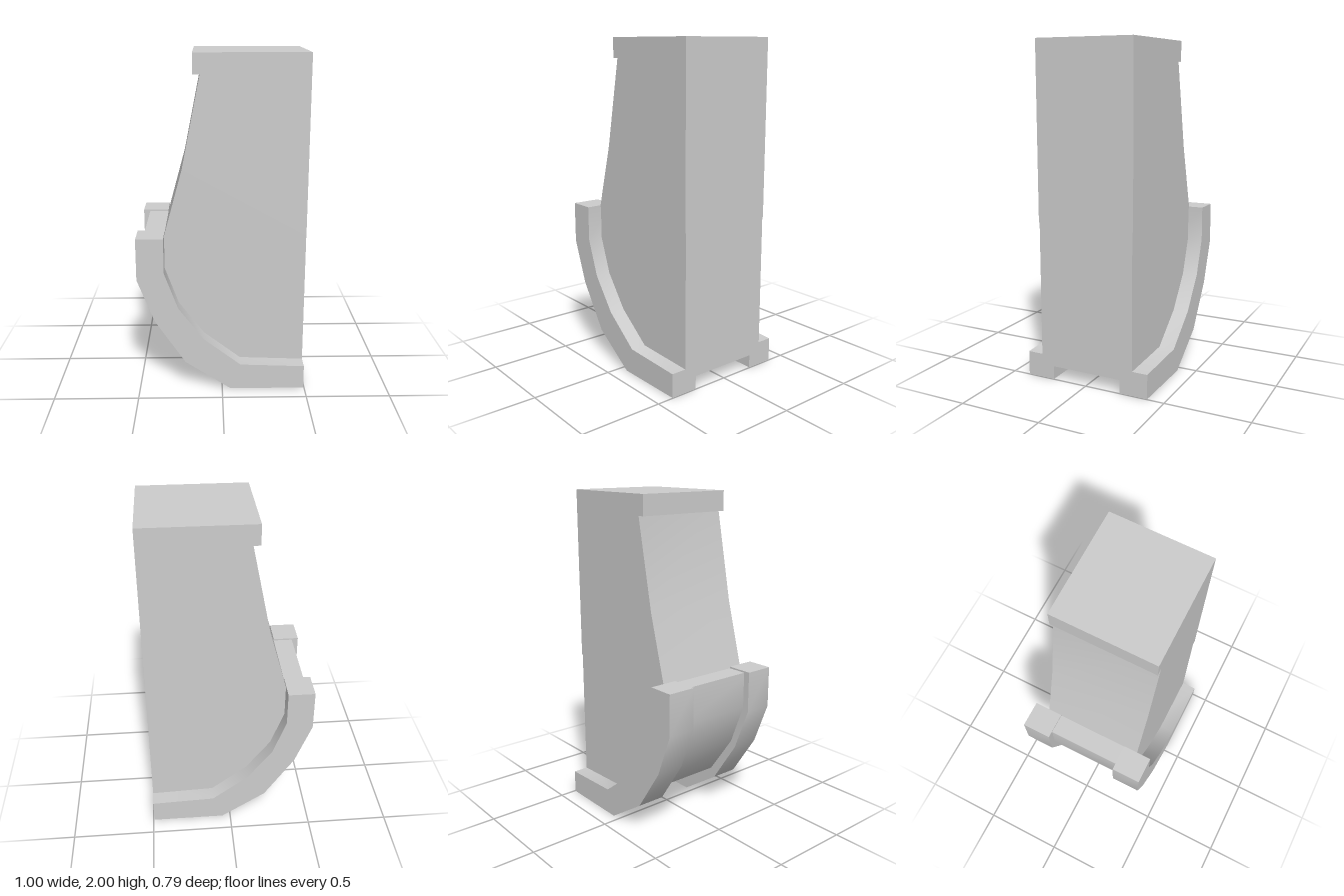
import * as THREE from 'three';
import { toCreasedNormals } from 'three/addons/utils/BufferGeometryUtils.js';

const material = new THREE.MeshStandardMaterial({ color: 0xcccccc });

// Extrudes a side profile (x, y points) between two z values
function profilePart(name, points, z0, z1) {
  const shape = new THREE.Shape(points.map(([x, y]) => new THREE.Vector2(x, y)));
  const geometry = new THREE.ExtrudeGeometry(shape, { depth: z1 - z0, bevelEnabled: false });
  geometry.translate(0, 0, z0);
  const mesh = new THREE.Mesh(toCreasedNormals(geometry, 0.75), material);
  mesh.name = name;
  return mesh;
}

export function createModel() {
  const model = new THREE.Group();
  model.name = 'bracket';
  const end = 0.495;
  const halfWidth = 0.305;

  // Tapering upper block
  model.add(profilePart('upperBlock', [
    [end, 0.95], [end, 2], [-0.11, 2], [-0.11, 1.95], [-0.23, 1.35], [-0.34, 0.95],
  ], -halfWidth, halfWidth));

  // Overhanging lip at the top
  model.add(profilePart('topLip', [
    [-0.1, 1.88], [-0.1, 2], [-0.165, 2], [-0.165, 1.88],
  ], -halfWidth, halfWidth));

  // Rounded lower body, set in slightly from the rails
  model.add(profilePart('lowerBody', [
    [end, 0.08], [end, 0.95], [-0.46, 0.95], [-0.46, 0.73],
    [-0.365, 0.48], [-0.19, 0.235], [0.07, 0.08],
  ], -0.3, 0.3));

  // Curved rail along each side
  const outer = [[-0.5, 0.96], [-0.5, 0.71], [-0.4, 0.45], [-0.22, 0.18], [0.05, 0], [end, 0]];
  const inner = [[-0.34, 0.96], [-0.34, 0.75], [-0.26, 0.53], [-0.11, 0.33], [0.11, 0.16], [end, 0.145]];
  const railProfile = [...outer, ...inner.reverse()];
  model.add(profilePart('leftRail', railProfile, 0.22, 0.395));
  model.add(profilePart('rightRail', railProfile, -0.395, -0.22));

  return model;
}
